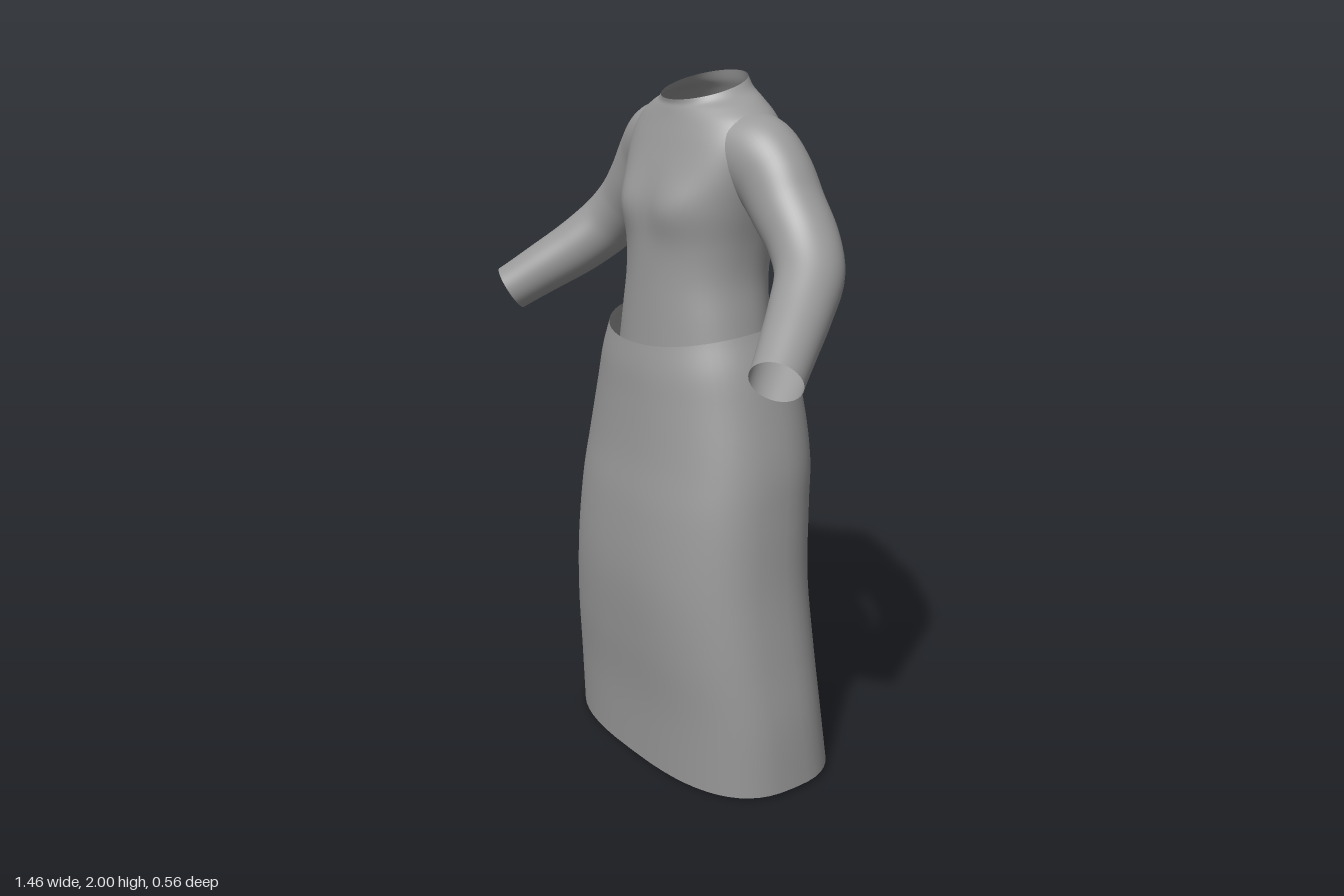
import * as THREE from 'three';

const SEG = 56;

// Smooth interpolation through rows of numbers, at t in 0..1
function sampleRows(rows, t) {
  const f = t * (rows.length - 1);
  const i = Math.min(Math.floor(f), rows.length - 2);
  const u = f - i;
  const at = (k) => rows[Math.max(0, Math.min(rows.length - 1, k))];
  return rows[i].map((_, c) => {
    const a = at(i - 1)[c], b = at(i)[c], d = at(i + 1)[c], e = at(i + 2)[c];
    return b + 0.5 * u * (d - a + u * (2 * a - 5 * b + 4 * d - e + u * (3 * (b - d) + e - a)));
  });
}

// Open surface through closed rings; ringPoint(t, angle) gives each point
function loft(steps, ringPoint) {
  const pos = [], index = [];
  for (let j = 0; j <= steps; j++) {
    for (let i = 0; i < SEG; i++) pos.push(...ringPoint(j / steps, (i / SEG) * Math.PI * 2));
  }
  for (let j = 0; j < steps; j++) {
    for (let i = 0; i < SEG; i++) {
      const k = (i + 1) % SEG;
      const a = j * SEG + i, b = j * SEG + k, c = a + SEG, d = b + SEG;
      index.push(a, b, d, a, d, c);
    }
  }
  const geo = new THREE.BufferGeometry();
  geo.setAttribute('position', new THREE.Float32BufferAttribute(pos, 3));
  geo.setIndex(index);
  geo.computeVertexNormals();
  return geo;
}

// Rounded horizontal section: half width, front z, back z, squareness, front and back heights
function section([yFront, yBack, w, zf, zb, n], angle) {
  const s = Math.sin(angle), c = Math.cos(angle);
  const x = w * Math.sign(s) * Math.abs(s) ** (2 / n);
  const k = Math.sign(c) * Math.abs(c) ** (2 / n);
  const z = (zf + zb) / 2 + (k * (zf - zb)) / 2;
  return [x, yBack + ((yFront - yBack) * (k + 1)) / 2, z];
}

const bump = (dx, dy, r) => Math.exp(-(dx * dx + dy * dy) / (r * r));

// yFront, yBack, half width, z front, z back, squareness
const SKIRT = [
  [0, 0.02, 0.47, 0.235, -0.275, 2.7],
  [0.2, 0.21, 0.46, 0.245, -0.25, 2.7],
  [0.4, 0.4, 0.435, 0.265, -0.238, 2.7],
  [0.6, 0.6, 0.41, 0.277, -0.235, 2.6],
  [0.8, 0.8, 0.395, 0.268, -0.25, 2.5],
  [0.95, 0.95, 0.38, 0.25, -0.265, 2.4],
  [1.1, 1.12, 0.345, 0.238, -0.255, 2.3],
  [1.2, 1.23, 0.315, 0.232, -0.225, 2.2],
  [1.275, 1.315, 0.28, 0.222, -0.19, 2.1],
];

const TORSO = [
  [1.24, 1.24, 0.258, 0.188, -0.185, 2.2],
  [1.34, 1.34, 0.24, 0.182, -0.183, 2.2],
  [1.45, 1.45, 0.222, 0.175, -0.186, 2.2],
  [1.55, 1.55, 0.226, 0.17, -0.2, 2.25],
  [1.65, 1.65, 0.245, 0.165, -0.217, 2.35],
  [1.74, 1.74, 0.262, 0.145, -0.216, 2.4],
  [1.82, 1.83, 0.27, 0.118, -0.2, 2.3],
  [1.875, 1.895, 0.25, 0.098, -0.182, 2.1],
  [1.905, 1.94, 0.2, 0.088, -0.165, 2],
  [1.92, 1.97, 0.155, 0.083, -0.152, 2],
  [1.932, 2, 0.132, 0.084, -0.145, 2],
];

// Sleeve centre x, y, z, then radius across the arm and radius in depth
const SLEEVE = [
  [0.17, 1.81, -0.045, 0.11, 0.115],
  [0.235, 1.78, -0.05, 0.12, 0.11],
  [0.29, 1.735, -0.055, 0.115, 0.103],
  [0.35, 1.665, -0.055, 0.103, 0.1],
  [0.42, 1.59, -0.05, 0.095, 0.097],
  [0.485, 1.52, -0.02, 0.09, 0.093],
  [0.545, 1.445, 0.055, 0.085, 0.085],
  [0.61, 1.375, 0.145, 0.077, 0.077],
  [0.67, 1.31, 0.23, 0.071, 0.071],
];

function sleeveGeometry(side) {
  const path = new THREE.CatmullRomCurve3(SLEEVE.map((r) => new THREE.Vector3(r[0], r[1], r[2])));
  return loft(40, (t, a) => {
    const [, , , ra, rd] = sampleRows(SLEEVE, t);
    const p = path.getPoint(t), dir = path.getTangent(t);
    // across lies in the arm's front plane, depth points forward
    const across = new THREE.Vector3(-dir.y, dir.x, 0).normalize();
    const depth = new THREE.Vector3().crossVectors(dir, across).normalize();
    p.addScaledVector(across, ra * Math.cos(a)).addScaledVector(depth, rd * Math.sin(a) * side);
    return [p.x * side, p.y, p.z];
  });
}

export function createModel() {
  const group = new THREE.Group();
  const cloth = new THREE.MeshStandardMaterial({ color: 0x999999, side: THREE.DoubleSide });
  cloth.name = 'grey cloth';

  const add = (name, geometry) => {
    const mesh = new THREE.Mesh(geometry, cloth);
    mesh.name = name;
    group.add(mesh);
  };

  // Long skirt, its waist raised at the sides
  add('skirt', loft(48, (t, a) => {
    const p = section(sampleRows(SKIRT, t), a);
    p[1] += 0.025 * Math.sin(a) ** 2 * t ** 6;
    return p;
  }));

  // Bodice with soft bust and a shallow groove down the back
  add('bodice', loft(60, (t, a) => {
    const p = section(sampleRows(TORSO, t), a);
    const [x, y] = p;
    if (Math.cos(a) > 0) p[2] += 0.022 * bump(Math.abs(x) - 0.11, y - 1.65, 0.08) * Math.cos(a);
    else p[2] += 0.012 * bump(x, (y - 1.6) * 0.3, 0.05);
    return p;
  }));

  add('leftSleeve', sleeveGeometry(1));
  add('rightSleeve', sleeveGeometry(-1));
  return group;
}
